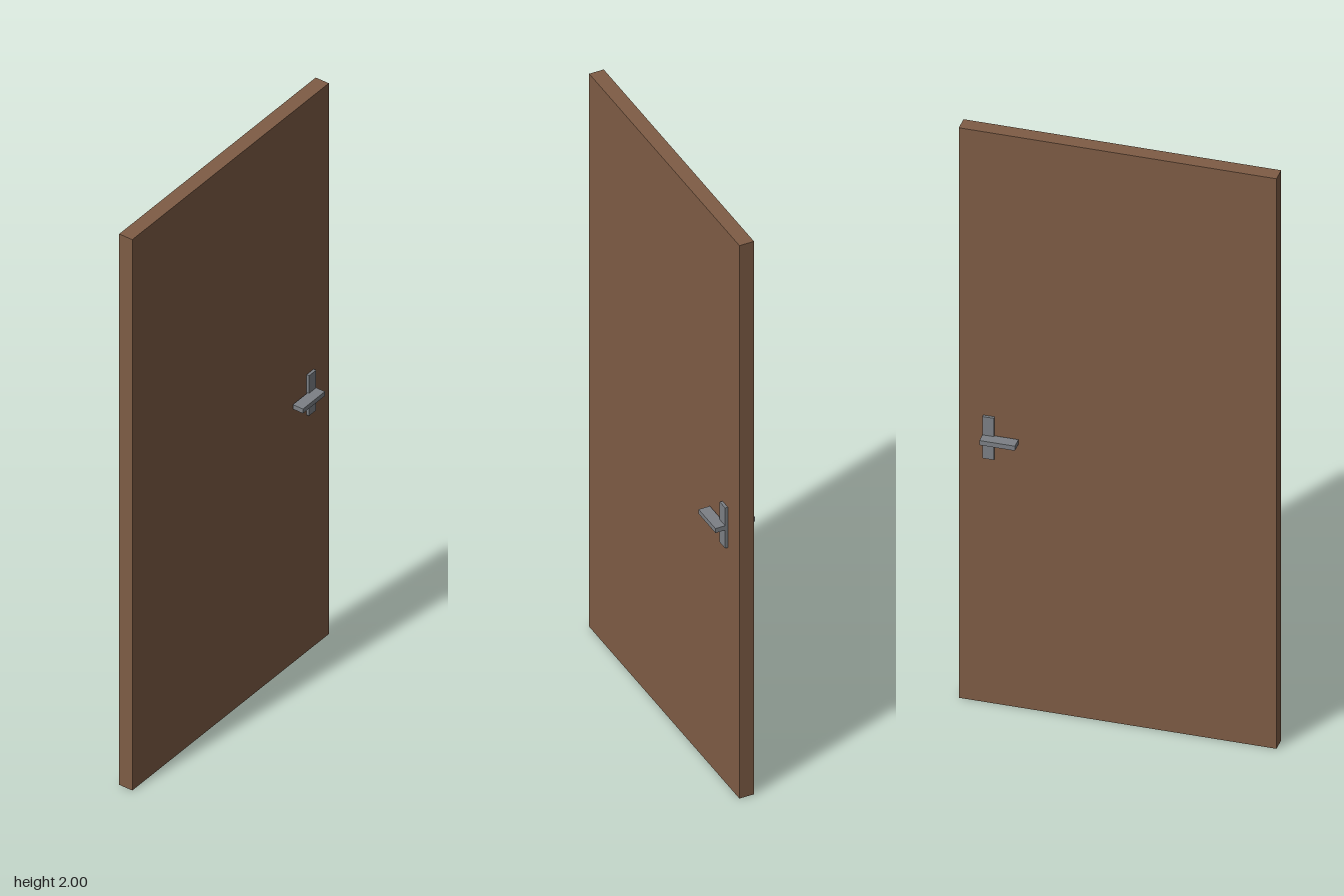
import * as THREE from 'three';

const wood = new THREE.MeshStandardMaterial({ name: 'brown wood', color: 0x7e5c45 });
const metal = new THREE.MeshStandardMaterial({ name: 'grey metal', color: 0x7c8085 });

// Box given by its lower and upper corners
function box(name, material, [x0, y0, z0], [x1, y1, z1]) {
  const mesh = new THREE.Mesh(new THREE.BoxGeometry(x1 - x0, y1 - y0, z1 - z0), material);
  mesh.position.set((x0 + x1) / 2, (y0 + y1) / 2, (z0 + z1) / 2);
  mesh.name = name;
  return mesh;
}

export function createModel() {
  const door = new THREE.Group();
  door.name = 'door';

  // Plain door leaf
  door.add(box('doorPanel', wood, [-0.487, 0, -0.024], [0.487, 2, 0.024]));

  // Backplate and flat lever on each face
  for (const side of [1, -1]) {
    const handle = new THREE.Group();
    handle.name = side > 0 ? 'frontHandle' : 'backHandle';
    const plate = box('backplate', metal, [0.377, 0.86, 0.024], [0.412, 1.006, 0.033]);
    const lever = box('lever', metal, [0.303, 0.926, 0.028], [0.412, 0.942, 0.065]);
    for (const part of [plate, lever]) part.position.z *= side;
    handle.add(plate, lever);
    door.add(handle);
  }
  return door;
}
